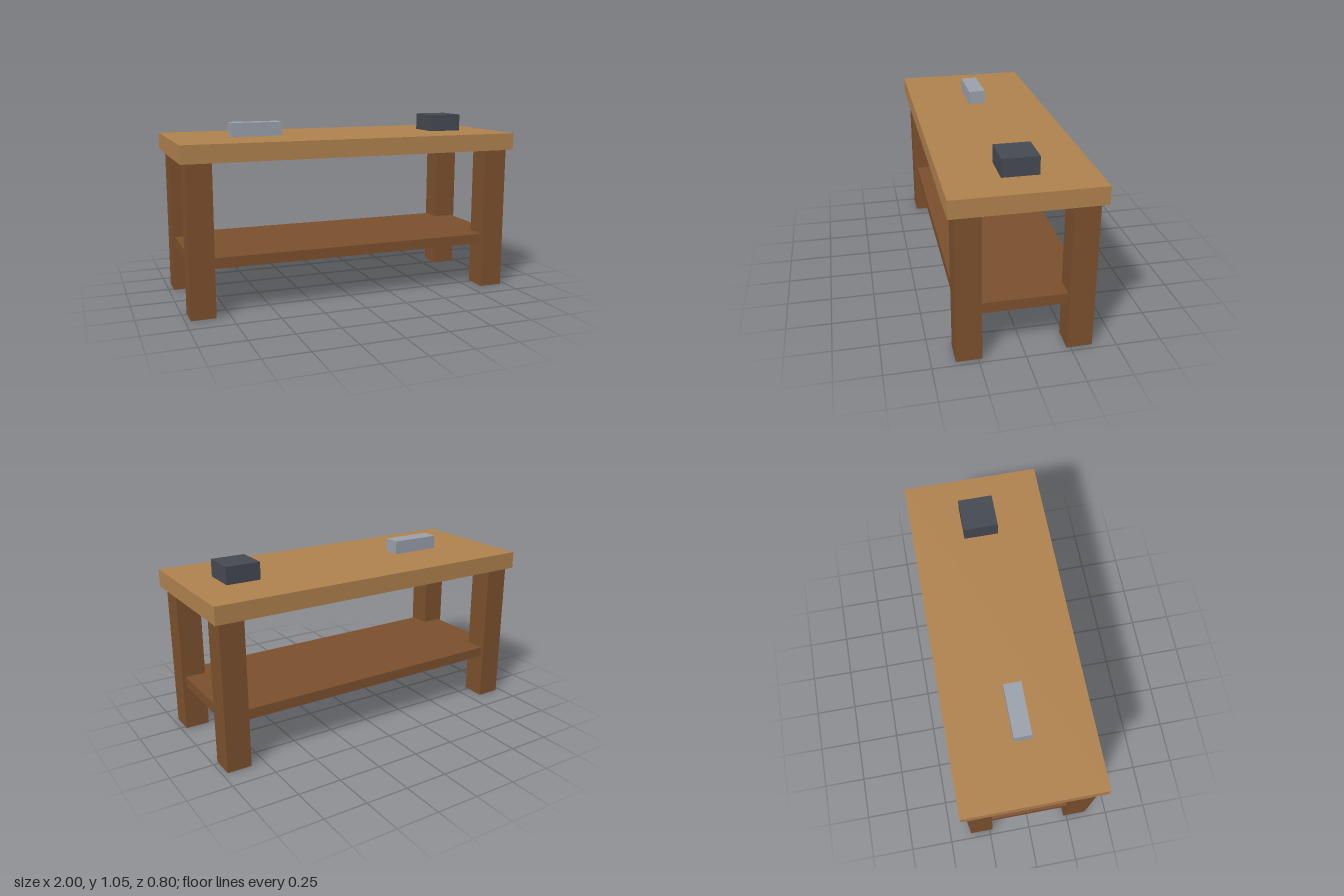
import * as THREE from 'three';

export function createModel() {
  const group = new THREE.Group();
  const material = (name, color) => {
    const m = new THREE.MeshStandardMaterial({ color });
    m.name = name;
    return m;
  };
  const lightWood = material('light wood', 0xb0824e);
  const darkWood = material('dark wood', 0x7c502d);
  const darkMetal = material('dark metal', 0x454951);
  const paleMetal = material('pale metal', 0x9aa1ab);

  // Box of the given size, resting with its underside at height y
  const box = (name, [w, h, d], [x, y, z], mat) => {
    const mesh = new THREE.Mesh(new THREE.BoxGeometry(w, h, d), mat);
    mesh.name = name;
    mesh.position.set(x, y + h / 2, z);
    group.add(mesh);
  };

  // Bench top
  box('benchTop', [2, 0.1, 0.8], [0, 0.85, 0], lightWood);

  // Four square legs
  for (const [side, x] of [['Left', 0.9], ['Right', -0.9]]) {
    for (const [end, z] of [['front', 0.3], ['back', -0.3]]) {
      box(`${end}${side}Leg`, [0.14, 0.85, 0.14], [x, 0, z], darkWood);
    }
  }

  // Lower shelf, let into the legs
  box('shelf', [1.9, 0.06, 0.7], [0, 0.27, 0], darkWood);

  // Blocks lying on the bench top
  box('viseBlock', [0.2, 0.1, 0.2], [0.7, 0.95, 0], darkMetal);
  box('toolBlock', [0.3, 0.08, 0.1], [-0.5, 0.95, 0], paleMetal);

  return group;
}
